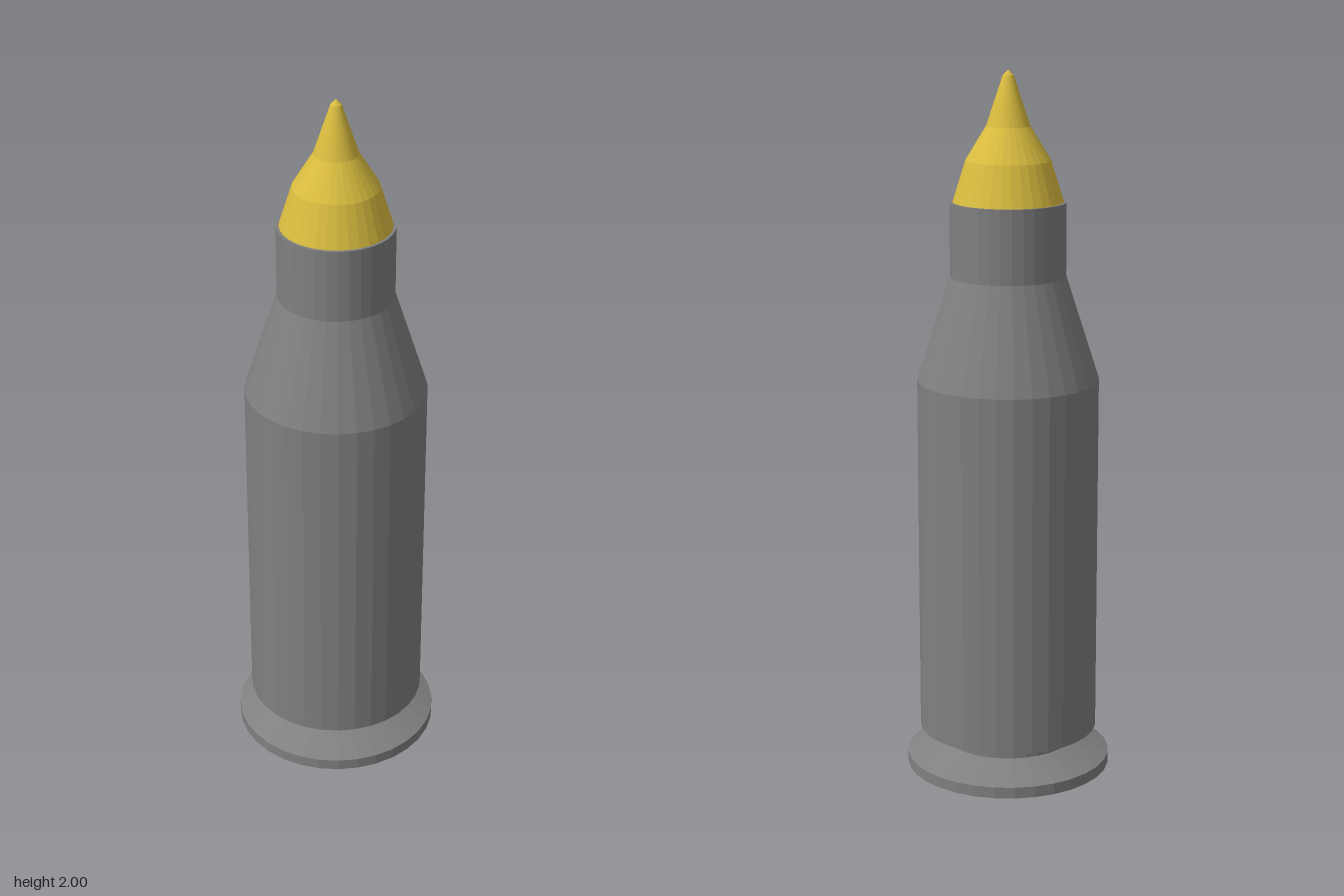
import * as THREE from 'three';

const SIDES = 32;

// Faceted solid of revolution from [radius, height] pairs, listed bottom to top
function turned(name, color, profile) {
  const points = profile.map(([r, y]) => new THREE.Vector2(r, y));
  const material = new THREE.MeshStandardMaterial({ color, flatShading: true });
  const mesh = new THREE.Mesh(new THREE.LatheGeometry(points, SIDES), material);
  mesh.name = name;
  return mesh;
}

export function createModel() {
  const group = new THREE.Group();
  group.name = 'cartridge';

  // Casing: rim, extractor groove, body, shoulder, neck and mouth
  group.add(turned('casing', 0x808080, [
    [0.06, 0.008], [0.29, 0.018], [0.29, 0.05], [0.19, 0.095], [0.19, 0.112],
    [0.253, 0.133], [0.253, 1.15], [0.16, 1.44], [0.16, 1.645], [0.152, 1.645],
  ]));

  // Pointed tip seated in the mouth
  group.add(turned('bullet', 0xd9bc3f, [
    [0.152, 1.645], [0.117, 1.757], [0.06, 1.85], [0.015, 1.985], [0, 2],
  ]));

  // Small disc in the middle of the base
  group.add(turned('primer', 0xd9bc3f, [[0, 0], [0.038, 0], [0.06, 0.008]]));

  return group;
}
